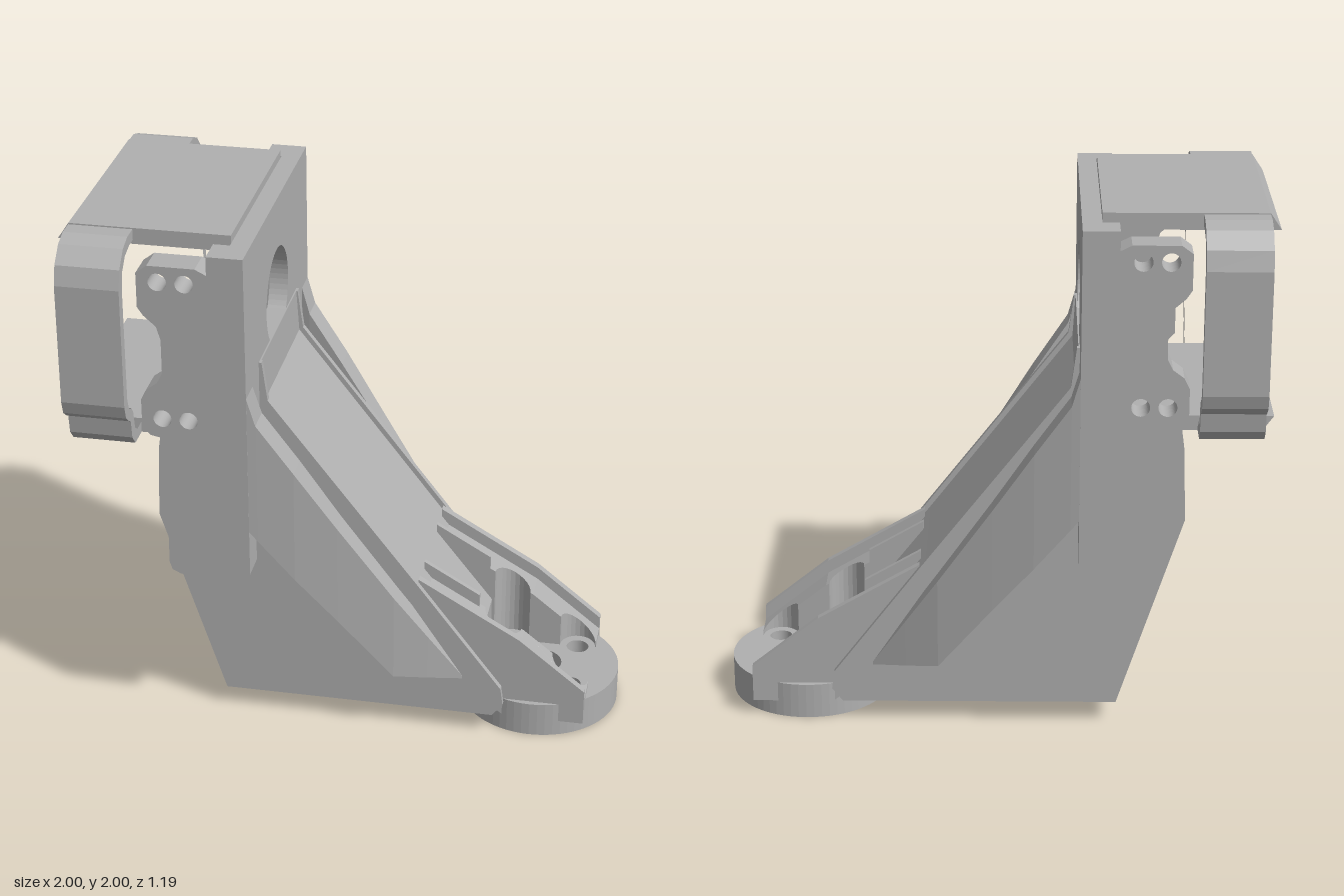
import * as THREE from 'three';

const grey = new THREE.MeshStandardMaterial({ color: 0xb0b0b0 });
grey.name = 'plain grey';

const toPoints = (list) => list.map(([a, b]) => new THREE.Vector2(a, b));

function extrude(outline, depth, holes = []) {
  const shape = new THREE.Shape(toPoints(outline));
  for (const [x, y, r] of holes) {
    shape.holes.push(new THREE.Path().absarc(x, y, r, 0, Math.PI * 2, true));
  }
  return new THREE.ExtrudeGeometry(shape, { depth, bevelEnabled: false, curveSegments: 28 });
}

// Outline in x and y, running from z0 to z1
const sideOn = (outline, z0, z1, holes) => extrude(outline, z1 - z0, holes).translate(0, 0, z0);
// Outline in z and y (symmetric), running from x0 to x1
const endOn = (shapeGeometry, x0) => shapeGeometry.rotateY(Math.PI / 2).translate(x0, 0, 0);
// Outline in x and -z, running upward from y0
const upright = (shapeGeometry, y0) => shapeGeometry.rotateX(-Math.PI / 2).translate(0, y0, 0);
// Complete a half outline by mirroring it across the centre line
const mirrored = (half) => [...half, ...half.map(([a, b]) => [-a, b]).reverse()];

// Solid lofted through four-cornered sections
function loft(sections) {
  const position = [];
  const tri = (...corners) => corners.forEach((c) => position.push(...c));
  const quad = (a, b, c, d) => { tri(a, b, c); tri(a, c, d); };
  for (let i = 0; i < sections.length - 1; i++) {
    const p = sections[i], q = sections[i + 1];
    for (let k = 0; k < 4; k++) {
      const n = (k + 1) % 4;
      quad(p[k], q[k], q[n], p[n]);
    }
  }
  const first = sections[0], last = sections[sections.length - 1];
  quad(first[0], first[1], first[2], first[3]);
  quad(last[3], last[2], last[1], last[0]);
  const geometry = new THREE.BufferGeometry();
  geometry.setAttribute('position', new THREE.Float32BufferAttribute(position, 3));
  geometry.computeVertexNormals();
  return geometry;
}

export function createModel() {
  const model = new THREE.Group();
  model.name = 'mountingBracket';
  const add = (name, geometry, parent = model) => {
    const mesh = new THREE.Mesh(geometry, grey);
    mesh.name = name;
    parent.add(mesh);
    return mesh;
  };

  // Wedge-shaped body with a slightly sunken sloping tray
  const back = [[-0.38, 1.25], [-0.67, 1.25], [-0.69, 1.1], [-0.7, 0.82], [-0.46, 0.08]];
  add('body', sideOn([...back, [0.44, 0.08], [0.49, 0.12], [0.49, 0.31],
    [0.25, 0.615], [-0.295, 1.32], [-0.305, 1.48], [-0.38, 1.48]], -0.295, 0.295));
  for (const s of [-1, 1]) {
    const z = s * 0.305;
    add('bodySide', sideOn([...back, [0.44, 0.08], [0.56, 0.08], [0.6, 0.13], [0.59, 0.2],
      [0.27, 0.62], [-0.28, 1.33], [-0.3, 1.48], [-0.38, 1.48]], z - 0.012, z + 0.012));
  }

  // Upright face plate with its round opening
  add('facePlate', endOn(extrude([[-0.52, 1.2], [0.52, 1.2], [0.52, 1.97], [-0.52, 1.97]],
    0.07, [[0, 1.6, 0.18]]), -0.38));

  // Side plates with drilled ears
  const ears = [1.86, 1.33].flatMap((y) => [[-0.615, y, 0.033], [-0.52, y, 0.033]]);
  const sidePlate = [[-0.31, 1.97], [-0.44, 1.97], [-0.44, 1.9], [-0.48, 1.92], [-0.65, 1.92],
    [-0.69, 1.89], [-0.69, 1.76], [-0.67, 1.73], [-0.625, 1.69], [-0.61, 1.64], [-0.61, 1.51],
    [-0.63, 1.47], [-0.67, 1.44], [-0.69, 1.4], [-0.69, 1.29], [-0.66, 1.26], [-0.61, 1.25],
    [-0.61, 0.74], [-0.6, 0.71], [-0.57, 0.695], [-0.38, 0.67], [-0.33, 0.685], [-0.31, 0.72]];
  for (const s of [-1, 1]) {
    add('sidePlate', sideOn(sidePlate, s > 0 ? 0.41 : -0.52, s > 0 ? 0.52 : -0.41, ears));
  }

  // Curved struts from the side plates down to the foot: x, top, bottom, inner z, outer z
  const strutStations = [
    [-0.32, 1.47, 0.91, 0.42, 0.52], [-0.28, 1.33, 0.86, 0.41, 0.515],
    [-0.15, 1.14, 0.7, 0.39, 0.495], [0, 0.91, 0.52, 0.37, 0.46],
    [0.2, 0.61, 0.27, 0.33, 0.41], [0.32, 0.43, 0.25, 0.3, 0.365], [0.45, 0.235, 0.23, 0.28, 0.315],
  ];
  for (const s of [-1, 1]) {
    const sections = strutStations.map(([x, top, bottom, inner, outer]) => {
      const ring = [[x, top, s * inner], [x, top, s * outer], [x, bottom, s * outer], [x, bottom, s * inner]];
      return s > 0 ? ring : ring.reverse();
    });
    // Check the winding against the first side face and flip when needed
    const strut = loft(sections.map((ring) => [...ring].reverse()));
    add('strut', strut);
  }

  // Clamp loop and its top and bottom shelves
  const loopOuter = mirrored([[0.46, 1.995], [0.52, 1.975], [0.575, 1.92], [0.595, 1.85],
    [0.595, 1.4], [0.58, 1.35], [0.55, 1.325], [0.525, 1.31], [0.515, 1.24], [0.48, 1.2]]);
  const loopInner = mirrored([[0.44, 1.955], [0.5, 1.94], [0.54, 1.9], [0.555, 1.84],
    [0.555, 1.41], [0.54, 1.37], [0.51, 1.355], [0.49, 1.33], [0.475, 1.26], [0.45, 1.24]]);
  const loop = new THREE.Shape(toPoints(loopOuter));
  loop.holes.push(new THREE.Path(toPoints(loopInner)));
  add('clampLoop', endOn(new THREE.ExtrudeGeometry(loop, { depth: 0.23, bevelEnabled: false }), -0.96));
  add('topShelf', sideOn([[-1, 1.94], [-0.38, 1.94], [-0.38, 2], [-0.96, 2]], -0.395, 0.395));
  add('bottomShelf', sideOn([[-0.96, 1.2], [-0.38, 1.2], [-0.38, 1.255], [-1, 1.255]], -0.395, 0.395));

  // Round foot with a centre bore and four screw holes
  const disc = new THREE.Shape().absarc(0.7, 0, 0.3, 0, Math.PI * 2);
  const screws = [0.57, 0.83].flatMap((x) => [[x, 0.13, 0.042], [x, -0.13, 0.042]]);
  for (const [x, y, r] of [[0.7, 0, 0.082], ...screws]) {
    disc.holes.push(new THREE.Path().absarc(x, y, r, 0, Math.PI * 2, true));
  }
  add('footDisc', upright(new THREE.ExtrudeGeometry(disc,
    { depth: 0.135, bevelEnabled: false, curveSegments: 32 }), 0));

  // Foot cheeks: sloped blocks with round screwdriver clearances and taller outer walls
  const slope = (x) => (x < 0.65 ? 0.62 - (x - 0.27) * 0.58 : 0.4 - (x - 0.65) * 0.8);
  for (const s of [-1, 1]) {
    add('cheekWall', sideOn([[0.27, 0.62], [0.65, 0.4], [0.9, 0.2], [0.9, 0.06], [0.6, 0.06],
      [0.27, 0.3]], s > 0 ? 0.25 : -0.28, s > 0 ? 0.28 : -0.25));
    for (const [x0, x1, hole] of [[0.27, 0.65, 0.57], [0.65, 0.9, 0.83]]) {
      const outline = [[x0, 0.25], [x0, 0.13]];
      for (let i = 0; i <= 12; i++) {
        const a = Math.PI * (1 - i / 12);
        outline.push([hole + 0.069 * Math.cos(a), 0.13 + 0.075 * Math.sin(a)]);
      }
      outline.push([x1, 0.13], [x1, 0.25]);
      const block = upright(extrude(outline.map(([x, z]) => [x, -s * z]), 1), 0);
      const p = block.attributes.position;
      for (let i = 0; i < p.count; i++) {
        const x = p.getX(i);
        p.setY(i, p.getY(i) > 0.5 ? slope(x) - 0.05 : 0.09);
      }
      block.computeVertexNormals();
      add('cheekBlock', block);
    }
    // Thin inner rib along the upper part of each cheek
    add('cheekRib', sideOn([[0.27, 0.62], [0.48, 0.498], [0.48, 0.3], [0.27, 0.5]],
      s > 0 ? 0.13 : -0.15, s > 0 ? 0.15 : -0.13));
  }
  return model;
}
